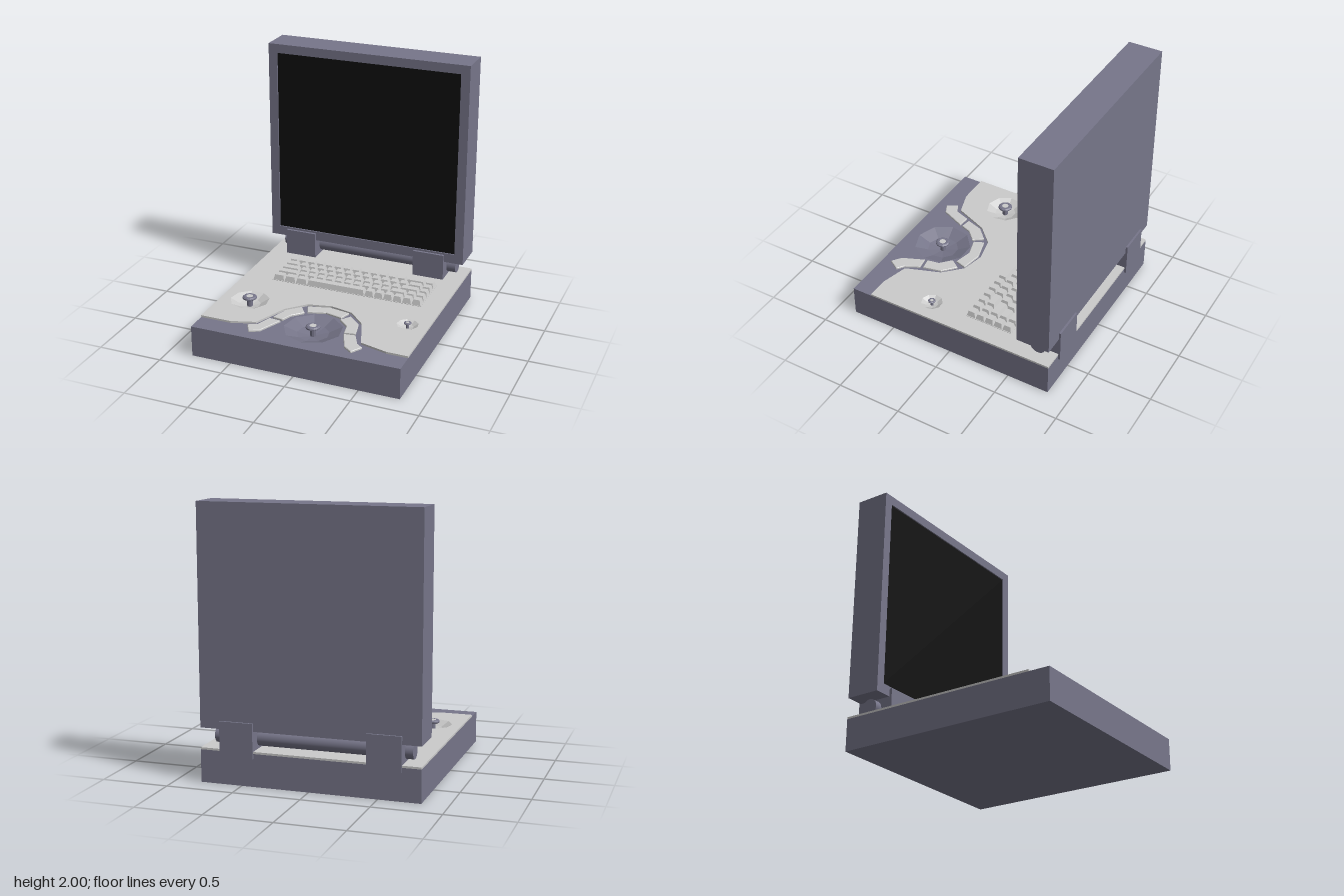
import * as THREE from 'three';

const mat = (color, extra = {}) => new THREE.MeshStandardMaterial({ color, flatShading: true, ...extra });
const shellColor = 0x77768a;

export function createModel() {
  const model = new THREE.Group();
  const shell = mat(shellColor);
  const shellThin = mat(shellColor, { side: THREE.DoubleSide });
  const grey = mat(0xcccccc);
  const greyThin = mat(0xcccccc, { side: THREE.DoubleSide });
  const black = mat(0x0f0f0f);

  const add = (name, geometry, material, x = 0, y = 0, z = 0, parent = model) => {
    const mesh = new THREE.Mesh(geometry, material);
    mesh.name = name;
    mesh.position.set(x, y, z);
    parent.add(mesh);
    return mesh;
  };
  const box = (w, h, d) => new THREE.BoxGeometry(w, h, d);

  // Shapes drawn in plan as [x, z], extruded upward
  const plan = (pts) => pts.map(([x, z]) => new THREE.Vector2(x, -z));
  const slab = (pts, height, holes = [], bevel = 0) => {
    const shape = new THREE.Shape(plan(pts));
    holes.forEach((h) => shape.holes.push(new THREE.Path(plan(h))));
    const geo = new THREE.ExtrudeGeometry(shape, {
      depth: height - bevel, bevelEnabled: bevel > 0, bevelThickness: bevel,
      bevelSize: bevel, bevelOffset: -bevel, bevelSegments: 1,
    });
    return geo.rotateX(-Math.PI / 2);
  };

  // Dishes with their thumbsticks
  const SIDES = 9;
  const dishes = [
    { name: 'leftStick', x: -0.587, z: 0.327, r: 0.15, rim: 0.255, floor: 0.2, cap: 0.055, top: 0.288, mat: greyThin },
    { name: 'smallStick', x: 0.65, z: 0.247, r: 0.082, rim: 0.255, floor: 0.222, cap: 0.028, top: 0.272, mat: greyThin },
    { name: 'centreStick', x: 0.027, z: 0.543, r: 0.22, rim: 0.24, floor: 0.18, cap: 0.055, top: 0.267, mat: shellThin },
  ];
  const dishRim = (d) => Array.from({ length: SIDES }, (_, i) => {
    const a = (i / SIDES) * Math.PI * 2;
    return [d.x + d.r * Math.sin(a), d.z + d.r * Math.cos(a)];
  });

  // Base: solid lower half, upper half pierced by the dishes
  add('baseLower', box(1.62, 0.14, 1.68), shell, 0, 0.07, 0.01);
  const rect = [[-0.81, 0.85], [0.81, 0.85], [0.81, -0.83], [-0.81, -0.83]];
  add('baseUpper', slab(rect, 0.1, dishes.map(dishRim)), shell, 0, 0.14, 0);

  // Top plate with the arched cut-out
  const plate = [
    [-0.81, -0.83], [-0.81, 0.69], [-0.57, 0.69], [-0.39, 0.632], [-0.283, 0.368], [-0.152, 0.233],
    [0.027, 0.193], [0.205, 0.233], [0.337, 0.366], [0.435, 0.632], [0.646, 0.688], [0.81, 0.69], [0.81, -0.83],
  ];
  add('topPlate', slab(plate, 0.015, dishes.slice(0, 2).map(dishRim)), grey, 0, 0.24, 0);

  // Buttons around the arch
  const buttons = [
    [[-0.14, 0.262], [0.027, 0.215], [0.19, 0.243], [0.162, 0.332], [0.027, 0.3], [-0.105, 0.34]],
    [[-0.175, 0.283], [-0.12, 0.36], [-0.2, 0.44], [-0.228, 0.52], [-0.31, 0.507], [-0.27, 0.377]],
    [[-0.327, 0.534], [-0.233, 0.543], [-0.314, 0.731], [-0.386, 0.767], [-0.435, 0.686], [-0.368, 0.655]],
    [[0.22, 0.287], [0.318, 0.377], [0.35, 0.52], [0.265, 0.534], [0.247, 0.44], [0.166, 0.363]],
    [[0.27, 0.556], [0.359, 0.543], [0.413, 0.65], [0.466, 0.69], [0.413, 0.776], [0.341, 0.722]],
  ];
  buttons.forEach((pts, i) => add(`archButton${i + 1}`, slab(pts, 0.015, [], 0.004), grey, 0, 0.24, 0));

  dishes.forEach((d) => {
    const g = new THREE.Group();
    g.name = d.name;
    g.position.set(d.x, 0, d.z);
    model.add(g);
    const depth = d.rim - d.floor;
    const bowl = [[0, d.floor], [d.r * 0.55, d.floor + depth * 0.35], [d.r, d.rim]].map((p) => new THREE.Vector2(...p));
    add('dish', new THREE.LatheGeometry(bowl, SIDES), d.mat, 0, 0, 0, g);
    const c = d.cap, t = c * 0.45;
    add('stem', new THREE.CylinderGeometry(c * 0.4, c * 0.4, d.top - d.floor - 0.008, 10), shell, 0, (d.top + d.floor - 0.008) / 2, 0, g);
    // Rounded cap with a pale flat centre
    const cap = [[0, -t], [c * 0.8, -t], [c, -t * 0.7], [c, -t * 0.3], [c * 0.8, 0], [c * 0.5, 0], [c * 0.45, -0.003], [0, -0.003]];
    add('cap', new THREE.LatheGeometry(cap.map((p) => new THREE.Vector2(...p)), 12), shell, 0, d.top, 0, g);
    add('capCentre', new THREE.CylinderGeometry(c * 0.47, c * 0.47, 0.003, 12), grey, 0, d.top - 0.0014, 0, g);
  });

  // Keyboard: tapered keys, widths in key units
  const U = 0.076, ones = (n) => Array(n).fill(1);
  const rows = [
    [...ones(13), 2, 1],
    [1.5, ...ones(12), 1.5, 1],
    [2, ...ones(11), 2, 1],
    [2.25, ...ones(10), 1.75, 1, 1],
    [1.25, 1.25, 1.25, 6.25, ...ones(6)],
  ];
  const keyGeometry = (w) => {
    const h = 0.042, inset = 0.011, geo = box(w, h, U - 0.004);
    const p = geo.attributes.position;
    for (let i = 0; i < p.count; i++) {
      if (p.getY(i) > 0) {
        p.setX(i, p.getX(i) - Math.sign(p.getX(i)) * inset);
        p.setZ(i, p.getZ(i) - Math.sign(p.getZ(i)) * inset);
      }
    }
    geo.computeVertexNormals();
    return geo;
  };
  const keyboard = new THREE.Group();
  keyboard.name = 'keyboard';
  model.add(keyboard);
  add('keyTray', box(16 * U + 0.006, 0.004, 5 * U + 0.006), grey, 0.039, 0.256, -0.243, keyboard);
  rows.forEach((row, r) => {
    let x = 0.039 - 8 * U;
    row.forEach((units) => {
      const w = units * U;
      add('key', keyGeometry(w - 0.004), grey, x + w / 2, 0.277, -0.243 + (r - 2) * U, keyboard);
      x += w;
    });
  });

  // Hinge rod and brackets
  const rod = new THREE.CylinderGeometry(0.06, 0.06, 1.46, 24).rotateZ(Math.PI / 2);
  add('hingeRod', rod, mat(shellColor, { flatShading: false }), 0, 0.33, -0.7);
  [-0.548, 0.534].forEach((x) => add('hingeBracket', box(0.25, 0.255, 0.295), shell, x, 0.3325, -0.6975));

  // Lid with a slightly recessed screen
  add('lidBack', box(1.62, 1.6, 0.245), shell, 0, 1.2, -0.7075);
  const frame = new THREE.Shape([[-0.81, 0.4], [0.81, 0.4], [0.81, 2], [-0.81, 2]].map((p) => new THREE.Vector2(...p)));
  frame.holes.push(new THREE.Path([[-0.74, 0.475], [-0.74, 1.93], [0.74, 1.93], [0.74, 0.475]].map((p) => new THREE.Vector2(...p))));
  add('screenFrame', new THREE.ExtrudeGeometry(frame, { depth: 0.015, bevelEnabled: false }), shell, 0, 0, -0.585);
  add('screen', box(1.48, 1.455, 0.006), black, 0, 1.2025, -0.583);

  return model;
}
